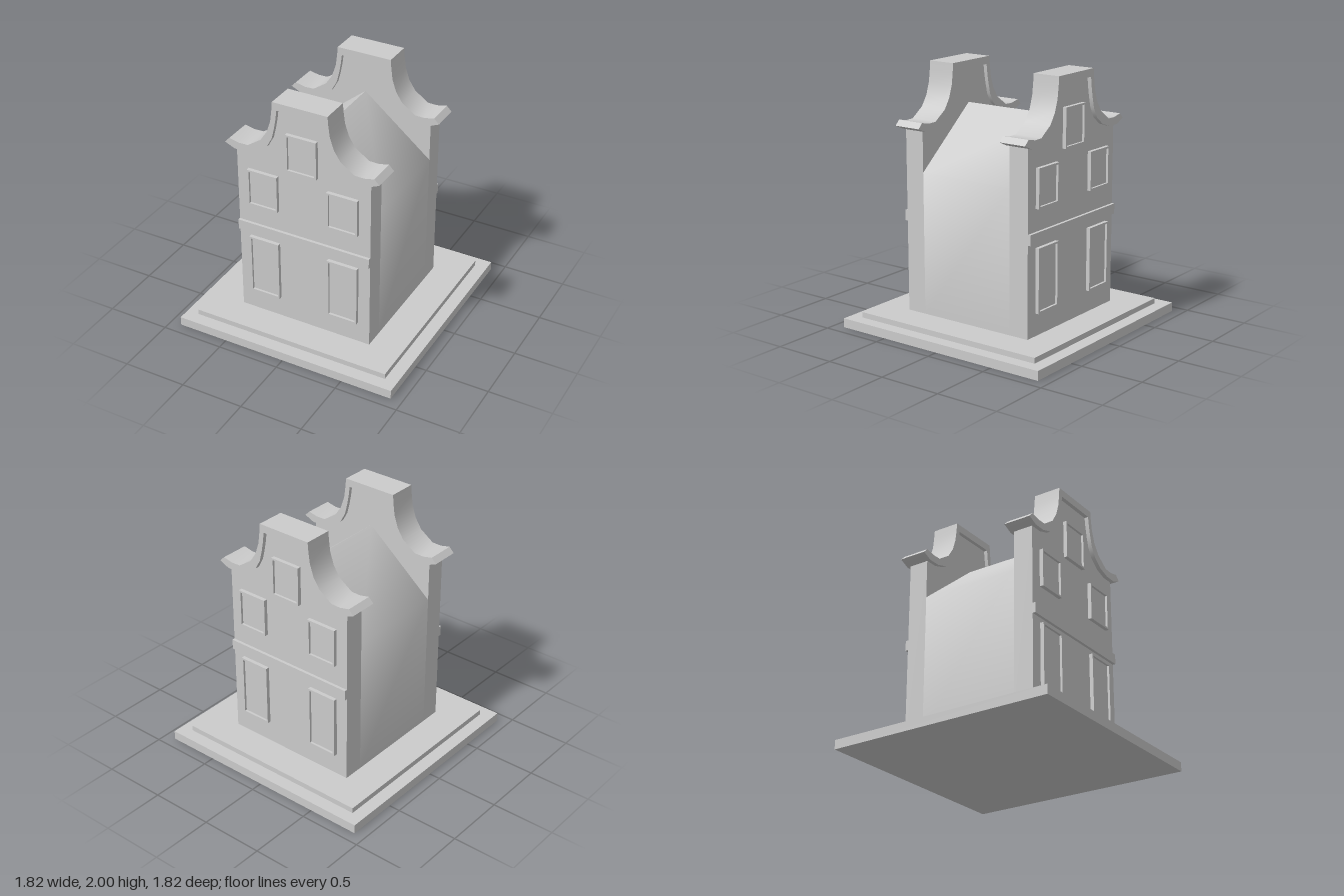
import * as THREE from 'three';
import { toCreasedNormals } from 'three/addons/utils/BufferGeometryUtils.js';

const material = new THREE.MeshStandardMaterial({ color: 0xcccccc });

function add(parent, name, geometry, x = 0, y = 0, z = 0) {
  const mesh = new THREE.Mesh(geometry, material);
  mesh.name = name;
  mesh.position.set(x, y, z);
  parent.add(mesh);
  return mesh;
}

// Mirrors a right-hand profile across x = 0 into a full left-to-right run
const mirrored = (half) => [
  ...half.map(([x, y]) => [-x, y]).reverse(),
  ...half,
];

// Extrudes an outline from z0 to z1, smoothing only shallow bends
function slab(points, z0, z1, crease = 0.6) {
  const shape = new THREE.Shape(points.map(([x, y]) => new THREE.Vector2(x, y)));
  const geometry = new THREE.ExtrudeGeometry(shape, { depth: z1 - z0, bevelEnabled: false });
  geometry.translate(0, 0, z0);
  return toCreasedNormals(geometry, crease);
}

function box(parent, name, x0, x1, y0, y1, z0, z1) {
  add(parent, name, new THREE.BoxGeometry(x1 - x0, y1 - y0, z1 - z0),
    (x0 + x1) / 2, (y0 + y1) / 2, (z0 + z1) / 2);
}

// Right half of the curved gable, listed from the top outwards
const outer = [[0.222, 2], [0.228, 1.93], [0.24, 1.84], [0.272, 1.745], [0.325, 1.665],
  [0.435, 1.59], [0.51, 1.588], [0.59, 1.605]];
const inner = [[0.187, 1.94], [0.197, 1.86], [0.211, 1.785], [0.232, 1.7], [0.275, 1.622],
  [0.355, 1.56], [0.45, 1.53], [0.55, 1.53]];
const tip = [0.63, 1.565];

// Window: raised frame around a slightly recessed pane
function addWindow(parent, name, x0, x1, y0, y1) {
  const b = 0.015;
  const rect = (C, m) => new C([
    new THREE.Vector2(x0 + m, y0 + m), new THREE.Vector2(x1 - m, y0 + m),
    new THREE.Vector2(x1 - m, y1 - m), new THREE.Vector2(x0 + m, y1 - m),
  ]);
  const frame = rect(THREE.Shape, 0);
  frame.holes.push(rect(THREE.Path, b));
  const group = new THREE.Group();
  group.name = name;
  add(group, 'windowFrame',
    new THREE.ExtrudeGeometry(frame, { depth: 0.035, bevelEnabled: false }), 0, 0, 0.555);
  box(group, 'windowPane', x0 + b, x1 - b, y0 + b, y1 - b, 0.55, 0.572);
  parent.add(group);
}

function buildFacade(name) {
  const facade = new THREE.Group();
  facade.name = name;

  // Gable wall under the coping
  add(facade, 'gableWall',
    slab([[-0.55, 0.11], ...mirrored(inner).map(([x, y]) => [x, y + 0.005]), [0.55, 0.11]],
      0.4, 0.56, 0.1));

  // Curved coping with flared tips
  const top = mirrored([...outer, tip]);
  const under = mirrored(inner).reverse();
  add(facade, 'coping', slab([...top, ...under], 0.37, 0.592));

  // Belt course
  box(facade, 'beltCourse', -0.55, 0.55, 0.825, 0.905, 0.55, 0.583);

  // Windows
  for (const [x0, x1, side] of [[0.205, 0.455, 'left'], [-0.455, -0.205, 'right']]) {
    addWindow(facade, side + 'LowerWindow', x0, x1, 0.29, 0.785);
    addWindow(facade, side + 'UpperWindow', x0, x1, 1.075, 1.375);
  }
  addWindow(facade, 'atticWindow', -0.125, 0.125, 1.455, 1.76);
  return facade;
}

export function createModel() {
  const model = new THREE.Group();
  model.name = 'gabledHouse';

  // Stepped base
  box(model, 'basePlinth', -0.91, 0.91, 0, 0.072, -0.91, 0.91);
  box(model, 'baseStep', -0.81, 0.81, 0.072, 0.115, -0.81, 0.81);

  // Main body with pitched roof, softened at the eaves
  add(model, 'bodyAndRoof',
    slab([[-0.55, 0.11], [0.55, 0.11], [0.55, 1.22], [0, 1.67], [-0.55, 1.22]], -0.4, 0.4, 1.05));

  // Matching facades at both ends
  const back = buildFacade('backFacade');
  back.rotation.y = Math.PI;
  model.add(buildFacade('frontFacade'), back);
  return model;
}
